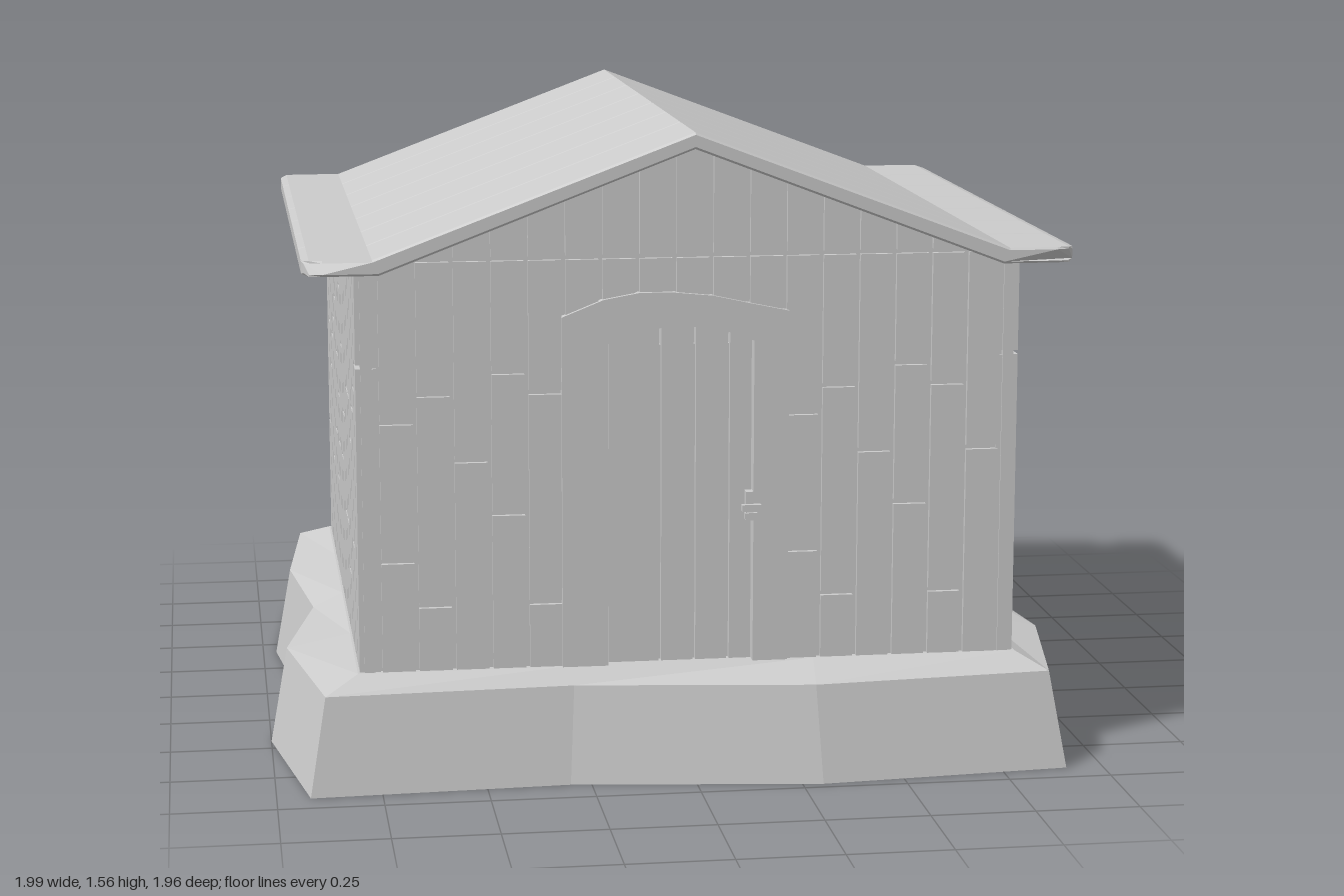
import * as THREE from 'three';

const mat = new THREE.MeshStandardMaterial({ color: 0xcccccc, flatShading: true });
const THICK = 0.05, GAP = 0.005;

function add(parent, name, geo, x = 0, y = 0, z = 0) {
  const m = new THREE.Mesh(geo, mat);
  m.name = name;
  m.position.set(x, y, z);
  parent.add(m);
  return m;
}

const toShape = (pts) => new THREE.Shape(pts.map(([x, y]) => new THREE.Vector2(x, y)));
const slab = (shape, depth) => new THREE.ExtrudeGeometry(shape, { depth, bevelEnabled: false });

// Keeps the part of a convex polygon to the left of the line a -> b
function clip(poly, a, b) {
  const side = (p) => (b[0] - a[0]) * (p[1] - a[1]) - (b[1] - a[1]) * (p[0] - a[0]);
  const out = [];
  poly.forEach((p, i) => {
    const q = poly[(i + 1) % poly.length], s = side(p), t = side(q);
    if (s >= 0) out.push(p);
    if (s * t < 0) {
      const k = s / (s - t);
      out.push([p[0] + (q[0] - p[0]) * k, p[1] + (q[1] - p[1]) * k]);
    }
  });
  return out;
}

// Pieces of a convex polygon that lie outside a convex hole
function cutHole(poly, hole) {
  const pieces = [];
  let rest = poly;
  hole.forEach((a, i) => {
    const b = hole[(i + 1) % hole.length];
    pieces.push(clip(rest, b, a));
    rest = clip(rest, a, b);
  });
  return pieces;
}

const area = (p) => p.length < 3 ? 0 : Math.abs(THREE.ShapeUtils.area(p.map(([x, y]) => ({ x, y }))));

// Wall of upright planks around a recessed core, with a convex outline and an optional hole
function plankWall(name, outline, start, pitch, joints, hole) {
  const wall = new THREE.Group();
  wall.name = name;
  const core = toShape(outline);
  if (hole) core.holes.push(toShape(hole));
  add(wall, 'wallCore', slab(core, THICK - 0.024), 0, 0, 0.012);
  const top = Math.max(...outline.map((p) => p[1]));
  joints.forEach((cuts, i) => {
    const x0 = start + i * pitch + GAP, x1 = start + (i + 1) * pitch - GAP;
    const ys = [0.25, ...cuts, 1.26, top].sort((a, b) => a - b);
    for (let k = 0; k + 1 < ys.length; k++) {
      const y0 = ys[k] + GAP, y1 = ys[k + 1] - GAP;
      if (y1 - y0 < 0.005) continue;
      let poly = [[x0, y0], [x1, y0], [x1, y1], [x0, y1]];
      outline.forEach((a, j) => { poly = clip(poly, a, outline[(j + 1) % outline.length]); });
      for (const piece of hole ? cutHole(poly, hole) : [poly])
        if (area(piece) > 1e-5) add(wall, 'plank', slab(toShape(piece), THICK));
    }
  });
  return wall;
}

// Uneven stone plinth built from rings
function plinth() {
  const outline = [[-0.92, -0.885], [-0.31, -0.97], [0.29, -0.985], [0.91, -0.885], [0.98, -0.38], [0.935, 0.02], [0.99, 0.48],
    [0.91, 0.925], [0.3, 0.975], [-0.3, 0.9], [-0.92, 0.925], [-1, 0.44], [-0.915, 0.02], [-0.965, -0.42]];
  const clamp = THREE.MathUtils.clamp;
  const rings = [
    outline.map(() => [0, 0, 0]),
    outline.map(([x, z]) => [x, 0, z]),
    outline.map(([x, z]) => [x * 0.957, 0.235, z * 0.96]),
    outline.map(([x, z]) => [clamp(x, -0.8, 0.8), 0.272, clamp(z, -0.765, 0.825)]),
    outline.map(() => [0, 0.272, 0]),
  ];
  const pos = [];
  for (let r = 0; r < 4; r++) for (let i = 0; i < outline.length; i++) {
    const j = (i + 1) % outline.length;
    const a = rings[r][i], b = rings[r][j], c = rings[r + 1][i], d = rings[r + 1][j];
    if (r > 0) pos.push(...a, ...c, ...b);
    if (r < 3) pos.push(...b, ...c, ...d);
  }
  const geo = new THREE.BufferGeometry();
  geo.setAttribute('position', new THREE.Float32BufferAttribute(pos, 3));
  geo.computeVertexNormals();
  return geo;
}

// One roof board: gabled strip with flat eaves; eave corners at the roof ends are rounded
function roofBoard(z0, z1, zMin, zMax) {
  const half = [[0.755, 1.272], [0.87, 1.272], [0.9, 1.272], [0.917, 1.268], [0.917, 1.238], [0.9, 1.235], [0.87, 1.235], [0.74, 1.235]];
  const profile = [[0, 1.557], ...half, [0, 1.518], ...half.map(([x, y]) => [-x, y]).reverse()];
  const b = 0.005, r = 0.048;
  const geo = new THREE.ExtrudeGeometry(toShape(profile), {
    depth: z1 - z0 - 2 * b, bevelSize: b, bevelOffset: -b, bevelThickness: b, bevelSegments: 1,
  });
  geo.translate(0, 0, z0 + b);
  const p = geo.attributes.position;
  for (let i = 0; i < p.count; i++) {
    const d = Math.max(0, Math.abs(p.getX(i)) - 0.869);
    const inset = r - Math.sqrt(Math.max(0, r * r - d * d));
    p.setZ(i, THREE.MathUtils.clamp(p.getZ(i), zMin + inset, zMax - inset));
  }
  geo.computeVertexNormals();
  return geo;
}

export function createModel() {
  const house = new THREE.Group();
  house.name = 'cabin';
  add(house, 'plinth', plinth());

  // Front and back gable walls
  const gable = [[-0.76, 0.25], [0.76, 0.25], [0.76, 1.25], [0, 1.53], [-0.76, 1.25]];
  const gableJoints = [[0.875, 0.54], [0.94, 0.43], [0.78], [0.99, 0.65], [0.94, 0.43], [0.78], [0.99, 0.65], [0.94, 0.43], [0.78],
    [1.01, 0.64], [0.94, 0.43], [0.875, 0.54], [0.94, 0.43], [0.78], [0.99, 0.65], [0.94, 0.43], [0.78]];
  const doorway = [[-0.2, 0.272], [0.15, 0.272], [0.15, 1.055], [0.06, 1.088], [-0.05, 1.095], [-0.2, 1.065]];
  const front = plankWall('frontWall', gable, -0.745, 0.0882, gableJoints, doorway);
  front.position.z = 0.82 - THICK;
  const back = plankWall('backWall', gable, -0.745, 0.0882, gableJoints);
  back.position.z = -0.76;
  house.add(front, back);

  // Side walls, drawn with -z to the right
  const side = [[-0.82, 0.25], [0.76, 0.25], [0.76, 1.245], [-0.82, 1.245]];
  const sideJoints = [[1.01], [0.94], [0.875, 0.54], [0.78], [0.875, 0.43], [0.875, 0.54], [1.18, 0.54], [0.78], [0.94, 0.65], [1.08],
    [0.78, 0.65], [0.875, 0.54], [1.01, 0.65], [0.94], [0.88, 0.54], [0.78], [0.89], [0.59]];
  const windowHole = [[-0.2, 0.63], [0.165, 0.61], [0.14, 0.99], [-0.26, 1.0]];
  for (const s of [1, -1]) {
    const wall = plankWall(s > 0 ? 'leftWall' : 'rightWall', side, -0.82, 0.0878, sideJoints, s > 0 ? windowHole : null);
    wall.rotation.y = Math.PI / 2;
    wall.position.x = s > 0 ? 0.795 - THICK : -0.795;
    house.add(wall);
  }

  // Crooked window frame of four crossing bars, each given as z, y end points
  const frame = new THREE.Group();
  frame.name = 'windowFrame';
  const bars = [[0.285, 1.005, -0.185, 0.985], [0.25, 0.635, -0.2, 0.602], [0.272, 1.035, 0.198, 0.585], [-0.138, 1.025, -0.178, 0.575]];
  bars.forEach(([z0, y0, z1, y1], i) => {
    const len = Math.hypot(z1 - z0, y1 - y0);
    const bar = add(frame, 'windowBar', new THREE.BoxGeometry(i < 2 ? 0.036 : 0.028, 0.03, len), 0.8, (y0 + y1) / 2, (z0 + z1) / 2);
    bar.rotation.x = -Math.atan2(y1 - y0, z1 - z0);
  });
  house.add(frame);

  // Arched door surround
  const surround = toShape([[-0.31, 0.272], [-0.2, 0.272], [-0.2, 1.065], [-0.05, 1.095], [0.06, 1.088], [0.15, 1.055], [0.15, 0.272],
    [0.235, 0.272], [0.235, 1.125], [0.14, 1.145], [0.05, 1.165], [-0.05, 1.175], [-0.125, 1.175], [-0.21, 1.16], [-0.31, 1.12]]);
  add(house, 'doorSurround', slab(surround, 0.025), 0, 0, 0.807);

  // Door planks and latch
  const door = new THREE.Group();
  door.name = 'door';
  const edges = [-0.2, -0.073, 0.01, 0.092, 0.15];
  for (let i = 0; i < 4; i++) {
    let poly = [[edges[i] + 0.003, 0.275], [edges[i + 1] - 0.003, 0.275], [edges[i + 1] - 0.003, 1.2], [edges[i] + 0.003, 1.2]];
    doorway.forEach((a, j) => { poly = clip(poly, a, doorway[(j + 1) % doorway.length]); });
    add(door, 'doorPlank', slab(toShape(poly), 0.03), 0, 0, 0.782);
  }
  add(door, 'doorCore', new THREE.BoxGeometry(0.34, 0.77, 0.015), -0.025, 0.66, 0.788);
  add(door, 'latchPlate', new THREE.BoxGeometry(0.018, 0.07, 0.03), 0.14, 0.655, 0.823);
  add(door, 'latchHandle', new THREE.BoxGeometry(0.046, 0.016, 0.016), 0.143, 0.652, 0.841);
  add(door, 'latchHook', new THREE.BoxGeometry(0.03, 0.014, 0.012), 0.143, 0.632, 0.838);
  house.add(door);

  // Roof boards
  const roof = new THREE.Group();
  roof.name = 'roof';
  const cuts = [-0.837, -0.595, -0.348, -0.1, 0.147, 0.392, 0.637, 0.885];
  for (let i = 0; i < 7; i++) add(roof, 'roofBoard', roofBoard(cuts[i] + 0.001, cuts[i + 1] - 0.001, cuts[0], cuts[7]));
  house.add(roof);
  return house;
}
